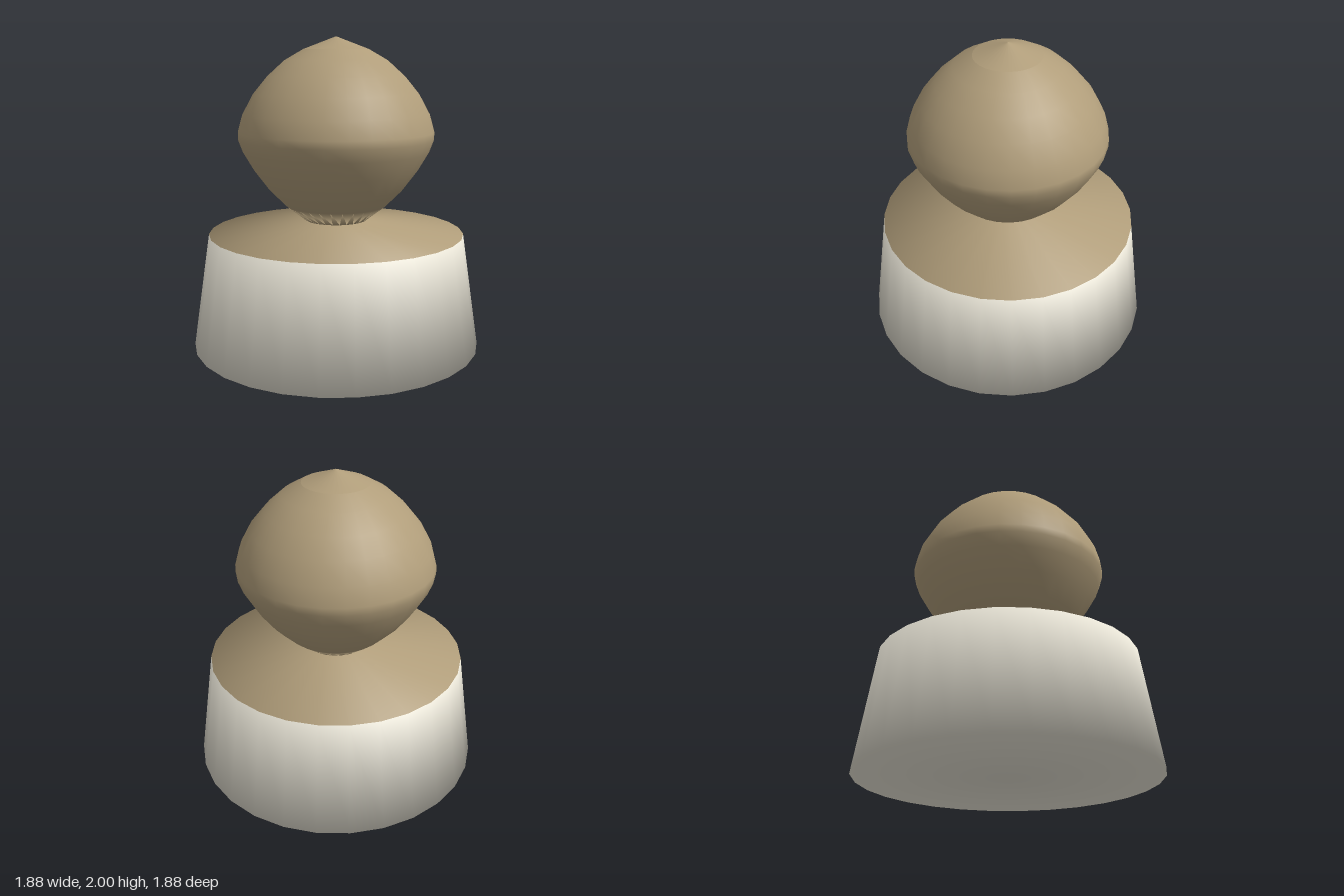
import * as THREE from 'three';

const SIDES = 28;

// Turned profile, radius and height, from the centre of the underside upwards
const PROFILE = [
  [0, 0], [0.94, 0], [0.83, 0.74],              // base
  [0.2, 0.82],                                  // shoulder up to the neck
  [0.33, 0.92], [0.44, 1.03], [0.53, 1.15], [0.6, 1.27], [0.63, 1.35],
  [0.63, 1.4], [0.6, 1.51], [0.53, 1.64], [0.44, 1.75], [0.33, 1.85], [0.21, 1.92],
];

const lathe = (points) =>
  new THREE.LatheGeometry(points.map(([r, y]) => new THREE.Vector2(r, y)), SIDES);

// Keeps only the rows first..last of a lathe, with normals still shared across the cut
function rows(geometry, count, first, last) {
  const source = geometry.index.array;
  const kept = [];
  for (let i = 0; i < source.length; i += 3) {
    const tri = [source[i], source[i + 1], source[i + 2]];
    const levels = tri.map((v) => v % count);
    if (Math.min(...levels) >= first && Math.max(...levels) <= last) kept.push(...tri);
  }
  const part = geometry.clone();
  part.setIndex(kept);
  return part;
}

export function createModel() {
  const group = new THREE.Group();
  const pale = new THREE.MeshStandardMaterial({ color: 0xe8e4d6 });
  const tan = new THREE.MeshStandardMaterial({ color: 0xb09d7a });

  const add = (name, geometry, material) => {
    const mesh = new THREE.Mesh(geometry, material);
    mesh.name = name;
    group.add(mesh);
  };

  const body = lathe(PROFILE);
  const n = PROFILE.length;
  add('base', rows(body, n, 0, 2), pale);
  add('shoulder', rows(body, n, 2, 3), tan);
  add('knob', rows(body, n, 3, n - 1), tan);

  // Shallow pointed cap with its own crisp edge
  add('tip', lathe([[0.21, 1.92], [0, 2]]), tan);

  return group;
}
